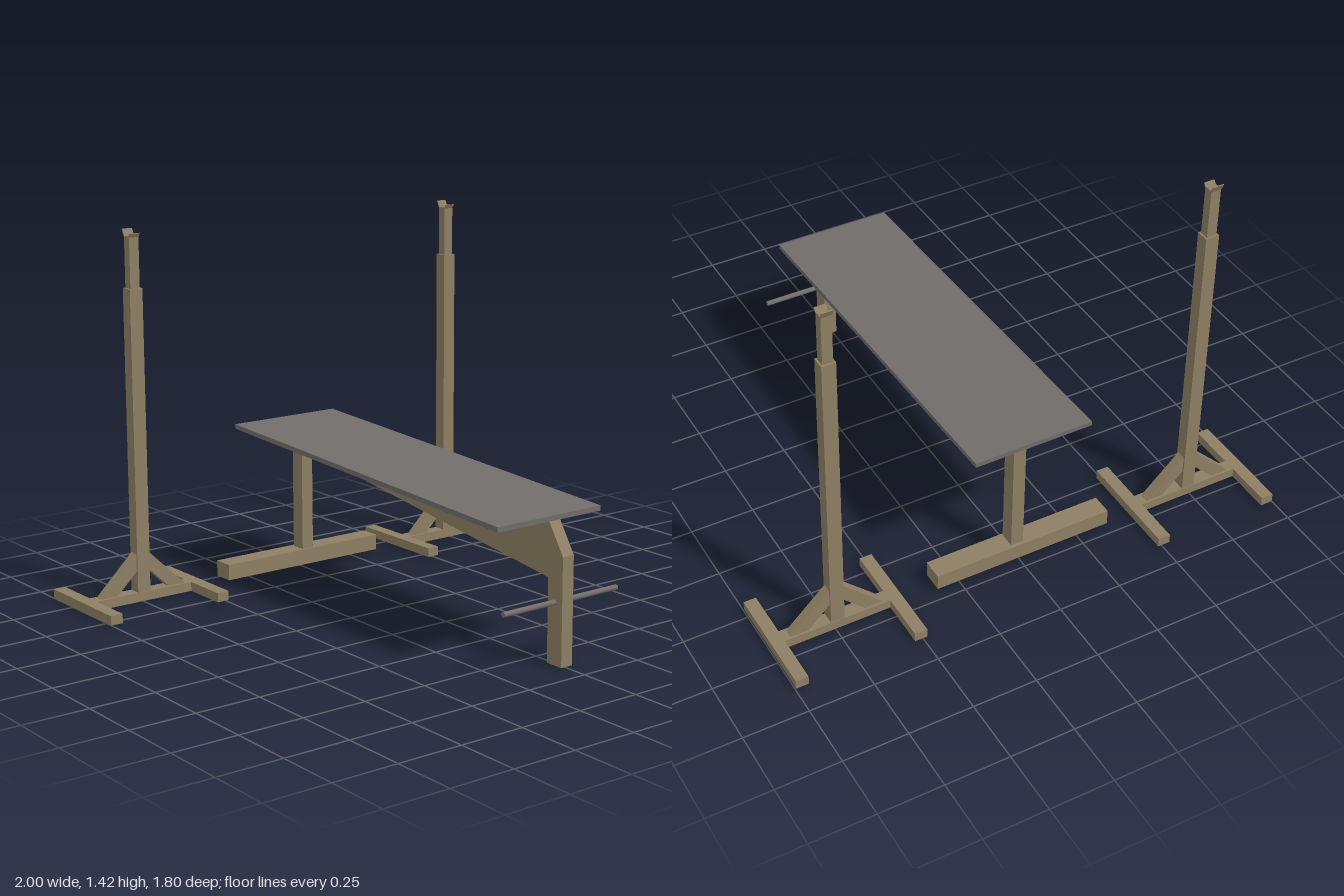
import * as THREE from 'three';

export function createModel() {
  const root = new THREE.Group();
  root.name = 'benchWithRackStands';
  const wood = new THREE.MeshStandardMaterial({ color: 0x8e7f63 });
  wood.name = 'tan frame';
  const pad = new THREE.MeshStandardMaterial({ color: 0x706d6b });
  pad.name = 'grey board';

  // box given by its min and max on each axis
  const box = (parent, name, mat, [x0, x1], [y0, y1], [z0, z1]) => {
    const m = new THREE.Mesh(new THREE.BoxGeometry(x1 - x0, y1 - y0, z1 - z0), mat);
    m.position.set((x0 + x1) / 2, (y0 + y1) / 2, (z0 + z1) / 2);
    m.name = name;
    parent.add(m);
    return m;
  };
  // flat outline extruded symmetrically about its own plane
  const slab = (parent, name, mat, points, depth) => {
    const shape = new THREE.Shape(points.map(([a, b]) => new THREE.Vector2(a, b)));
    const g = new THREE.ExtrudeGeometry(shape, { depth, bevelEnabled: false });
    g.translate(0, 0, -depth / 2);
    const m = new THREE.Mesh(g, mat);
    m.name = name;
    parent.add(m);
    return m;
  };
  // outline drawn in (z, y), extruded along x
  const sideSlab = (parent, name, mat, points, width, x) => {
    const m = slab(parent, name, mat, points.map(([z, y]) => [-z, y]), width);
    m.rotation.y = Math.PI / 2;
    m.position.x = x;
    return m;
  };

  // bench
  const bench = new THREE.Group();
  bench.name = 'bench';
  root.add(bench);
  sideSlab(bench, 'board', pad,
    [[0.828, 0.508], [0.828, 0.527], [-0.76, 0.603], [-0.76, 0.585]], 0.472, -0.014);
  sideSlab(bench, 'frontLegAndRail', wood,
    [[0.9, 0], [0.9, 0.397], [0.828, 0.508], [-0.64, 0.579], [-0.64, 0.5], [0.826, 0.31], [0.826, 0]],
    0.05, 0.008);
  sideSlab(bench, 'rearPost', wood,
    [[-0.64, 0.08], [-0.64, 0.579], [-0.702, 0.582], [-0.702, 0.08]], 0.05, 0.008);
  box(bench, 'rearCrossFoot', wood, [-0.375, 0.346], [0.018, 0.08], [-0.716, -0.633]);
  const rod = new THREE.Mesh(new THREE.CylinderGeometry(0.01, 0.01, 0.525, 16), pad);
  rod.rotation.z = Math.PI / 2;
  rod.position.set(0.012, 0.228, 0.861);
  rod.name = 'footRod';
  bench.add(rod);

  // upright stands
  const addStand = (name, x, z) => {
    const s = new THREE.Group();
    s.name = name;
    s.position.set(x, 0, z);
    root.add(s);
    for (const d of [-1, 1]) {
      const a = d * 0.208, b = d * 0.257;
      box(s, 'foot', wood, [Math.min(a, b), Math.max(a, b)], [0, 0.036], [-0.215, 0.215]);
      const pts = [[0.183, 0.036], [0.024, 0.19], [0.024, 0.122], [0.112, 0.036]];
      slab(s, 'brace', wood, pts.map(([px, py]) => [d * px, py]), 0.036);
    }
    box(s, 'crossBar', wood, [-0.208, 0.208], [0, 0.036], [-0.027, 0.027]);
    box(s, 'outerPost', wood, [-0.027, 0.027], [0.036, 1.2], [-0.025, 0.025]);
    box(s, 'innerPost', wood, [-0.02, 0.02], [1.2, 1.394], [-0.018, 0.018]);
    // flared lips that hold the bar
    sideSlab(s, 'frontLip', wood,
      [[0.014, 1.392], [0.018, 1.39], [0.027, 1.405], [0.024, 1.406]], 0.042, 0);
    sideSlab(s, 'rearLip', wood,
      [[-0.014, 1.392], [-0.018, 1.39], [-0.031, 1.417], [-0.028, 1.419]], 0.042, 0);
  };
  addStand('rightStand', -0.743, -0.682);
  addStand('leftStand', 0.739, -0.673);

  return root;
}
